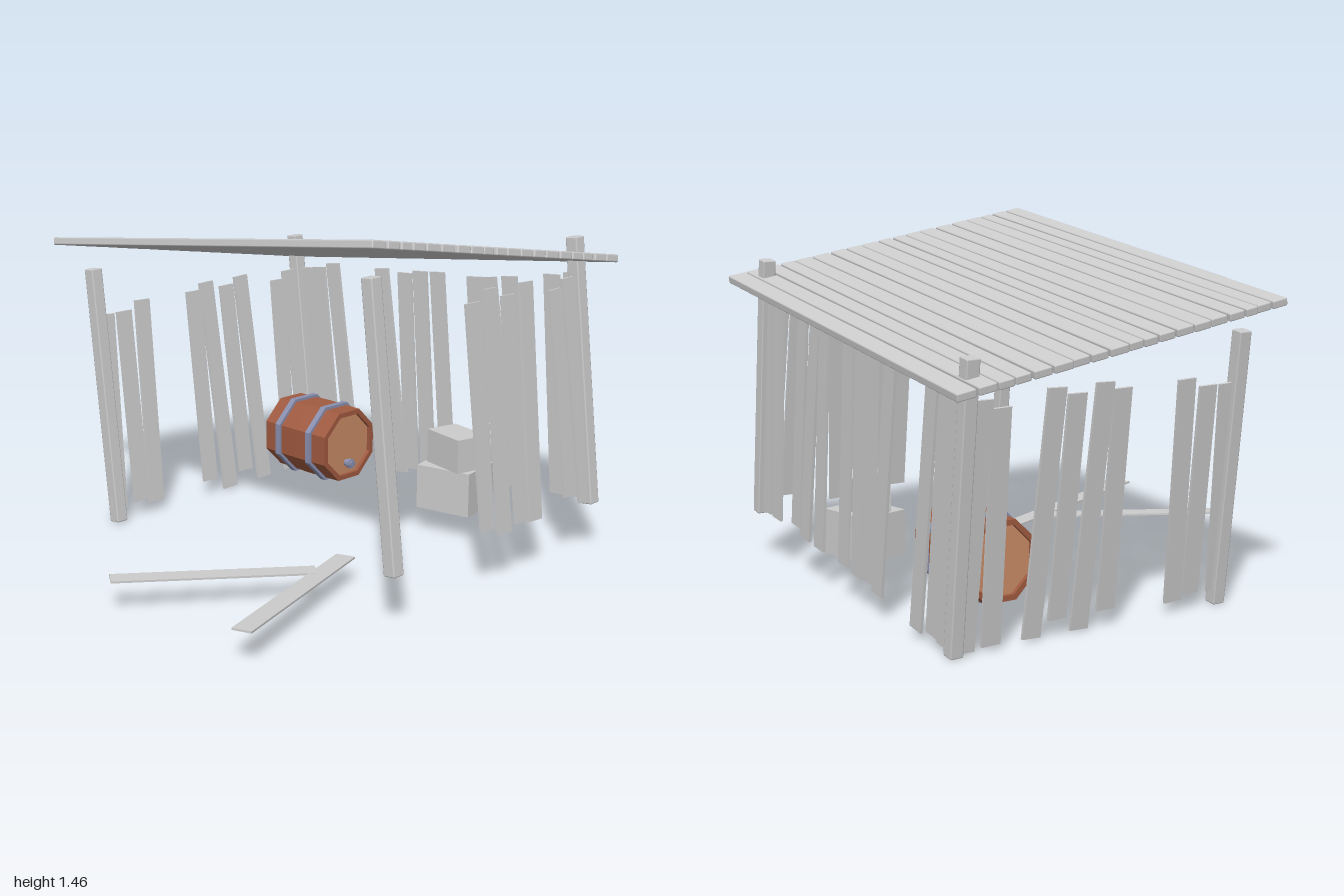
import * as THREE from 'three';
import { RoundedBoxGeometry } from 'three/addons/geometries/RoundedBoxGeometry.js';

const mat = (name, color) => {
  const m = new THREE.MeshStandardMaterial({ color });
  m.name = name;
  return m;
};

export function createModel() {
  const wood = mat('weathered wood', 0xcccccc);
  const stave = mat('barrel wood', 0xa05a40);
  const lid = mat('barrel lid wood', 0xc98a66);
  const metal = mat('blue grey metal', 0x8a90b0);

  const model = new THREE.Group();
  model.name = 'ruinedShed';
  const add = (parent, name, geo, material, x = 0, y = 0, z = 0) => {
    const m = new THREE.Mesh(geo, material);
    m.name = name;
    m.position.set(x, y, z);
    parent.add(m);
    return m;
  };

  // The whole shed leans sideways
  const shed = new THREE.Group();
  shed.name = 'leaningShed';
  shed.rotation.z = 0.122;
  model.add(shed);

  // Corner posts
  const leftX = -0.682, rightX = 0.951;
  for (const x of [leftX, rightX])
    for (const z of [0.32, -0.88])
      add(shed, 'cornerPost', new RoundedBoxGeometry(0.055, 1.11, 0.055, 1, 0.006), wood, x, 0.649, z);

  // Sloping roof made of planks of uneven width
  const edges = [-1, -0.915, -0.835, -0.765, -0.695, -0.615, -0.53, -0.455, -0.38, -0.295,
    -0.23, -0.165, -0.09, -0.01, 0.07, 0.15, 0.225, 0.285, 0.355, 0.43];
  const pitch = 0.163;
  for (let i = 0; i < edges.length - 1; i++) {
    const z = (edges[i] + edges[i + 1]) / 2;
    const width = (edges[i + 1] - edges[i]) / Math.cos(pitch) - 0.007;
    const plank = add(shed, 'roofPlank', new RoundedBoxGeometry(1.878, 0.032, width, 1, 0.006), wood,
      0.137 + 0.002 * Math.sin(i * 2.3), 1.335 + (z - 0.43) * Math.tan(pitch), z);
    plank.rotation.set(-pitch, 0.003 * Math.sin(i * 1.7), 0);
  }

  // Back wall boards: top x, top y, bottom x, bottom y
  const backBoards = [
    [-0.606, 1.05, -0.612, 0.105], [-0.536, 1.053, -0.53, 0.115], [-0.443, 1.072, -0.412, 0.091],
    [-0.133, 1.054, -0.107, 0.114], [0.006, 1.037, -0.04, 0.136], [0.098, 1.046, 0.06, 0.125],
    [0.199, 1.044, 0.177, 0.129], [0.408, 1.028, 0.39, 0.12], [0.489, 1.028, 0.52, 0.12],
    [0.6, 1.034, 0.603, 0.148], [0.824, 1.047, 0.79, 0.115], [0.926, 1.055, 0.89, 0.112]];
  for (const [tx, ty, bx, by] of backBoards) {
    const b = add(shed, 'backWallBoard', new THREE.BoxGeometry(0.08, Math.hypot(tx - bx, ty - by), 0.012),
      wood, (tx + bx) / 2, (ty + by) / 2, -0.88);
    b.rotation.z = Math.atan2(bx - tx, ty - by);
  }

  // Side wall boards: top z, top y, bottom z, bottom y
  const sideBoard = (x, [tz, ty, bz, by]) => {
    const b = add(shed, 'sideWallBoard', new THREE.BoxGeometry(0.012, Math.hypot(tz - bz, ty - by), 0.08),
      wood, x, (ty + by) / 2, (tz + bz) / 2);
    b.rotation.x = Math.atan2(tz - bz, ty - by);
  };
  [[-0.22, 1.03, -0.222, 0.135], [-0.328, 1.07, -0.322, 0.1], [-0.433, 1.03, -0.43, 0.12],
    [-0.548, 1.065, -0.515, 0.107], [-0.728, 1.01, -0.75, 0.155], [-0.815, 1.045, -0.845, 0.11]]
    .forEach((b) => sideBoard(rightX, b));
  [[0.275, 1.0, 0.31, 0.15], [0.18, 1.0, 0.185, 0.155], [0.075, 1.035, 0.103, 0.134],
    [-0.22, 1.03, -0.22, 0.159], [-0.3, 1.06, -0.337, 0.1], [-0.42, 1.03, -0.44, 0.159],
    [-0.51, 1.06, -0.55, 0.103], [-0.74, 1.01, -0.725, 0.108], [-0.815, 1.045, -0.835, 0.1]]
    .forEach((b) => sideBoard(leftX, b));

  // Fallen boards lying in front
  const fallen = (a, b) => {
    const from = new THREE.Vector3(...a), to = new THREE.Vector3(...b);
    const m = add(model, 'fallenBoard', new THREE.BoxGeometry(0.08, 0.008, from.distanceTo(to)), wood);
    m.position.copy(from).add(to).multiplyScalar(0.5);
    m.lookAt(to);
  };
  fallen([0.075, 0.132, 0.97], [0.52, 0.114, 0.31]);
  fallen([0.79, 0.135, 0.95], [0.475, 0.105, 0.1]);

  // Stacked crates
  add(model, 'lowerCrate', new THREE.BoxGeometry(0.25, 0.19, 0.22), wood, 0.385, 0.208, -0.665).rotation.y = 0.2;
  add(model, 'upperCrate', new THREE.BoxGeometry(0.21, 0.145, 0.15), wood, 0.4, 0.375, -0.65).rotation.y = -0.2;

  // Octagonal barrel on its side, its own axis along y before turning
  const barrel = new THREE.Group();
  barrel.name = 'barrel';
  barrel.position.set(-0.356, 0.28, -0.583);
  barrel.rotation.z = -Math.PI / 2;
  model.add(barrel);
  const octagon = (points) => {
    const g = new THREE.LatheGeometry(points.map(([r, y]) => new THREE.Vector2(r, y)), 8, Math.PI / 8);
    const flat = g.toNonIndexed();
    flat.computeVertexNormals();
    return flat;
  };
  // Shell with a rim around each recessed lid
  add(barrel, 'barrelStaves', octagon([[0.145, -0.165], [0.145, -0.187], [0.168, -0.187],
    [0.171, 0], [0.168, 0.187], [0.145, 0.187], [0.145, 0.165]]), stave);
  add(barrel, 'barrelLids', octagon([[0, -0.17], [0.15, -0.17], [0.15, 0.17], [0, 0.17]]), lid);
  for (const y of [-0.098, 0.092])
    add(barrel, 'barrelHoop', octagon([[0.165, y - 0.014], [0.183, y - 0.014], [0.183, y + 0.014],
      [0.165, y + 0.014]]), metal);

  // Tap near the bottom of the barrel's end
  const tap = add(barrel, 'barrelTap', new THREE.CylinderGeometry(0.016, 0.016, 0.05, 8), metal, 0.085, 0.188, 0);
  add(tap, 'tapKnob', new THREE.CylinderGeometry(0.023, 0.023, 0.016, 8), metal, 0, 0.008, 0);

  return model;
}
